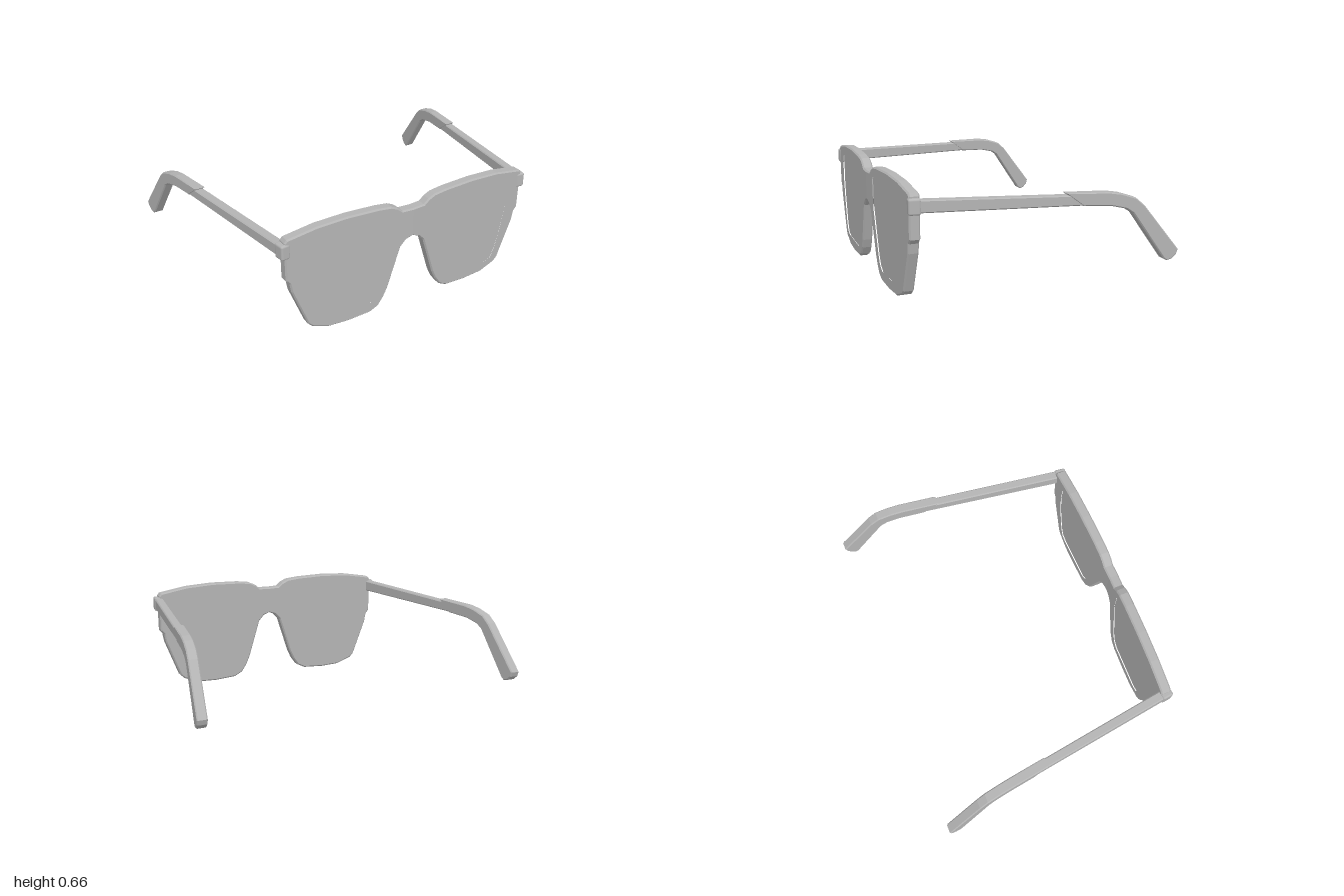
import * as THREE from 'three';
import { RoundedBoxGeometry } from 'three/addons/geometries/RoundedBoxGeometry.js';

const grey = new THREE.MeshStandardMaterial({ color: 0xb4b4b4 });
grey.name = 'grey plastic';

const vectors = (points) => points.map(([x, y]) => new THREE.Vector2(x, y));

// Half of the front, from the middle of the bridge round to the middle again
const frameOutline = [
  [0, 0.597], [0.07, 0.6], [0.1, 0.625], [0.14, 0.643], [0.22, 0.652], [0.4, 0.658],
  [0.58, 0.65], [0.755, 0.622], [0.768, 0.605], [0.766, 0.38], [0.745, 0.355], [0.735, 0.3],
  [0.645, 0.07], [0.62, 0.045], [0.52, 0.008], [0.4, 0.002], [0.26, 0.01], [0.21, 0.035],
  [0.175, 0.085], [0.15, 0.14], [0.075, 0.375], [0.04, 0.412], [0, 0.428],
];
const lensOutline = [
  [0.117, 0.57], [0.135, 0.594], [0.5, 0.594], [0.64, 0.588], [0.67, 0.565], [0.672, 0.41],
  [0.655, 0.29], [0.618, 0.135], [0.59, 0.08], [0.54, 0.063], [0.27, 0.06], [0.225, 0.095],
  [0.2, 0.15], [0.122, 0.42],
];

// Temple profiles as [z, y]
const armProfile = [[0.67, 0.59], [-0.2, 0.568], [-0.2, 0.512], [0.67, 0.522]];
const tipProfile = [
  [-0.1, 0.582], [-0.33, 0.577], [-0.4, 0.566], [-0.48, 0.54], [-0.53, 0.497], [-0.735, 0.24],
  [-0.726, 0.212], [-0.7, 0.187], [-0.672, 0.18], [-0.655, 0.19], [-0.47, 0.455],
  [-0.43, 0.482], [-0.345, 0.502], [-0.19, 0.51],
];

function part(name, geometry) {
  const mesh = new THREE.Mesh(geometry, grey);
  mesh.name = name;
  return mesh;
}

function moveVertices(geometry, rule) {
  const p = geometry.attributes.position;
  const v = new THREE.Vector3();
  for (let i = 0; i < p.count; i++) {
    rule(v.fromBufferAttribute(p, i));
    p.setXYZ(i, v.x, v.y, v.z);
  }
  geometry.computeVertexNormals();
  return geometry;
}

function slab(outline, depth, bevel, hole) {
  const shape = new THREE.Shape(vectors(outline));
  if (hole) shape.holes.push(new THREE.Path(vectors(hole)));
  const geometry = new THREE.ExtrudeGeometry(shape, {
    depth: depth - 2 * bevel, bevelEnabled: bevel > 0, bevelThickness: bevel,
    bevelSize: bevel, bevelOffset: -bevel, bevelSegments: 1,
  });
  return geometry.translate(0, 0, bevel - depth / 2);
}

// Sweep the front back towards the hinges and close it on the centre line
const bendFront = (v) => {
  if (v.x < 0.03) v.x = 0;
  v.z += 0.7 - 0.028 * v.x;
};

// Extrude a temple profile sideways and splay it outwards to the rear
function temple(profile, width) {
  const geometry = slab(profile, width, 0.006).rotateY(-Math.PI / 2);
  return moveVertices(geometry, (v) => {
    v.x += 0.765 + (0.67 - v.z) * 0.147;
  });
}

function createSide() {
  const side = new THREE.Group();
  side.add(part('frameHalf', moveVertices(slab(frameOutline, 0.06, 0.008, lensOutline), bendFront)));
  side.add(part('lens', moveVertices(slab(lensOutline, 0.044, 0), bendFront)));

  // Hinge block wrapping the end of the front
  const hinge = part('hinge', new RoundedBoxGeometry(0.055, 0.086, 0.066, 2, 0.012));
  hinge.position.set(0.767, 0.555, 0.682);
  hinge.rotation.y = -0.145;
  side.add(hinge);

  side.add(part('templeArm', temple(armProfile, 0.052)));
  side.add(part('templeTip', temple(tipProfile, 0.058)));
  return side;
}

export function createModel() {
  const model = new THREE.Group();
  model.name = 'glasses';
  for (const s of [1, -1]) {
    const side = createSide();
    side.name = s > 0 ? 'leftSide' : 'rightSide';
    side.scale.x = s;
    model.add(side);
  }
  return model;
}
